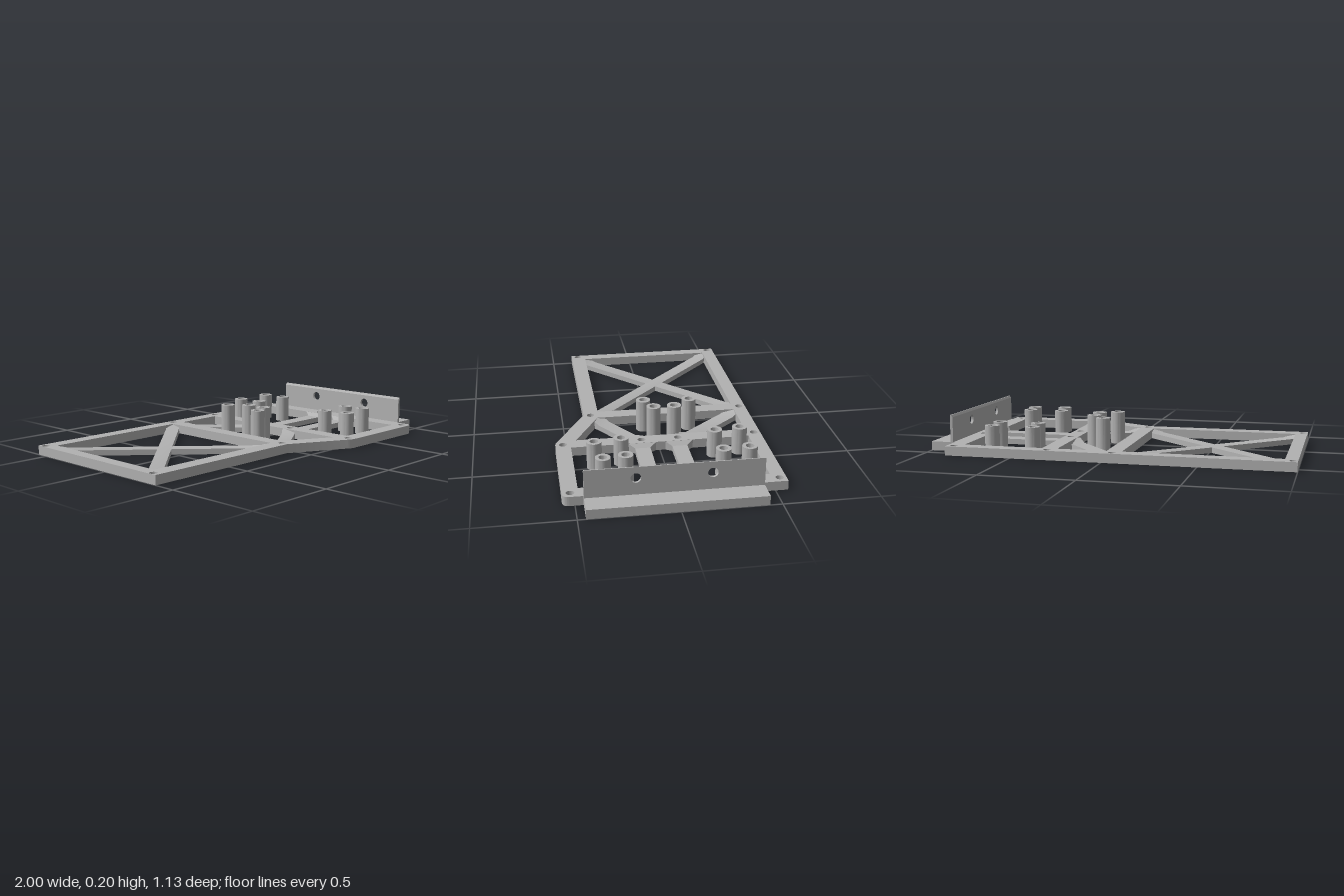
import * as THREE from 'three';
import { toCreasedNormals } from 'three/addons/utils/BufferGeometryUtils.js';

const T = 0.05;      // frame thickness
const LOW = 0.03;    // brace thickness
const grey = new THREE.MeshStandardMaterial({ color: 0xb2b2b2 });
grey.name = 'grey plastic';

export function createModel() {
  const model = new THREE.Group();
  model.name = 'mountingFrame';

  const add = (name, geometry) => {
    const mesh = new THREE.Mesh(toCreasedNormals(geometry, 0.5), grey);
    mesh.name = name;
    model.add(mesh);
    return mesh;
  };
  const poly = (pts) => pts.map(([x, z]) => new THREE.Vector2(x, z));
  const circle = (x, y, r) => new THREE.Path().absarc(x, y, r, 0, Math.PI * 2, true);
  const rect = (x0, x1, z0, z1) => new THREE.Path(poly([[x0, z0], [x1, z0], [x1, z1], [x0, z1]]));
  // Extrudes a plan drawn in x and z from y = 0 up to the given height
  const rise = (shape, height) => new THREE.ExtrudeGeometry(shape, { depth: height, bevelEnabled: false, curveSegments: 12 })
    .rotateX(Math.PI / 2).translate(0, height, 0);

  // Flat frame with windows and screw holes
  const plate = new THREE.Shape();
  plate.moveTo(-1, -0.565);
  plate.lineTo(0.865, -0.565);
  plate.lineTo(0.865, 0.525);
  plate.quadraticCurveTo(0.865, 0.562, 0.828, 0.562);
  plate.lineTo(0.305, 0.562);
  plate.quadraticCurveTo(0.28, 0.562, 0.255, 0.545);
  plate.lineTo(-0.06, 0.38);
  plate.lineTo(-1, 0.38);
  plate.closePath();
  plate.holes.push(
    rect(-0.933, -0.095, -0.49, 0.295),
    new THREE.Path(poly([[-0.013, -0.49], [0.257, -0.49], [0.257, 0.447], [-0.013, 0.305]])),
    rect(0.34, 0.782, -0.49, 0.48));
  const screws = [
    [-0.977, -0.53], [-0.053, -0.53], [0.3, -0.53], [0.825, -0.53],
    [-0.977, 0.34], [-0.053, 0.34], [0.3, 0.52], [0.825, 0.52],
    [0.3, -0.105], [0.825, -0.105], [0.3, 0.095], [0.825, 0.095]];
  for (const [x, z] of screws) plate.holes.push(circle(x, z, 0.021));
  add('frame', rise(plate, T));

  // Thin braces whose ends ramp up and flare out to meet the frame
  function brace(name, ax, az, bx, bz, width, ramp, flare) {
    const length = Math.hypot(bx - ax, bz - az);
    const w = width / 2;
    const sections = [[0, w + flare, T], [ramp, w, LOW], [length - ramp, w, LOW], [length, w + flare, T]];
    const pos = [];
    const index = [];
    for (const [s, h, y] of sections) pos.push(s, 0, h, s, 0, -h, s, y, -h, s, y, h);
    for (let i = 0; i < 3; i++) {
      for (let k = 0; k < 4; k++) {
        const a = i * 4 + k, b = i * 4 + (k + 1) % 4;
        index.push(a, b, b + 4, a, b + 4, a + 4);
      }
    }
    index.push(0, 2, 1, 0, 3, 2, 12, 13, 14, 12, 14, 15);
    const g = new THREE.BufferGeometry();
    g.setAttribute('position', new THREE.Float32BufferAttribute(pos, 3));
    g.setIndex(index);
    // Loop order is checked against the outward side of the first bottom face
    const [p, q, r] = [0, 1, 5].map((i) => new THREE.Vector3().fromArray(pos, i * 3));
    if (q.sub(p).cross(r.sub(p)).y > 0) {
      for (let i = 0; i < index.length; i += 3) [index[i + 1], index[i + 2]] = [index[i + 2], index[i + 1]];
      g.setIndex(index);
    }
    g.rotateY(-Math.atan2(bz - az, bx - ax)).translate(ax, 0, az);
    add(name, g);
  }
  brace('crossBrace', -0.94, -0.497, -0.088, 0.302, 0.075, 0.06, 0.005);
  brace('crossBrace', -0.94, 0.302, -0.088, -0.497, 0.075, 0.06, 0.005);
  brace('upperDiagonalBrace', -0.02, -0.49, 0.275, -0.147, 0.082, 0.065, 0.003);
  brace('lowerDiagonalBrace', -0.02, 0.305, 0.275, 0.11, 0.075, 0.065, 0.003);
  for (const z of [-0.105, 0.097]) brace('straightBrace', 0.339, z, 0.783, z, 0.082, 0.024, 0.036);

  // Hollow standoffs, four tall and eight short
  const standoffs = [
    [0.083, -0.203, 0.18], [0.16, -0.107, 0.18], [0.16, 0.008, 0.18], [0.064, 0.052, 0.18],
    [0.42, -0.417, 0.15], [0.65, -0.417, 0.15], [0.435, -0.278, 0.15], [0.657, -0.278, 0.15],
    [0.46, 0.225, 0.15], [0.655, 0.225, 0.15], [0.484, 0.369, 0.15], [0.668, 0.342, 0.15]];
  for (const [x, z, h] of standoffs) {
    const ring = new THREE.Shape().absarc(0, 0, 0.04, 0, Math.PI * 2, false);
    ring.holes.push(circle(0, 0, 0.022));
    add('standoff', rise(ring, h)).position.set(x, 0, z);
  }

  // Ledge along the right edge
  add('ledge', new THREE.BoxGeometry(0.14, T, 0.895).translate(0.93, T / 2, 0.0105));

  // Upright panel with two holes and a tapered top edge
  const panel = new THREE.Shape(poly([[-0.458, T], [0.437, T], [0.437, 0.188], [-0.458, 0.188]]));
  panel.holes.push(circle(-0.205, 0.14, 0.026), circle(0.175, 0.14, 0.026));
  add('panel', new THREE.ExtrudeGeometry(panel, { depth: 0.015, bevelEnabled: false, curveSegments: 16 })
    .rotateY(Math.PI / 2).translate(0.873, 0, 0));
  const lip = new THREE.Shape(poly([[0.873, 0.188], [0.888, 0.188], [0.888, 0.2], [0.882, 0.2]]));
  add('panelTopEdge', new THREE.ExtrudeGeometry(lip, { depth: 0.895, bevelEnabled: false }).translate(0, 0, -0.437));

  return model;
}
